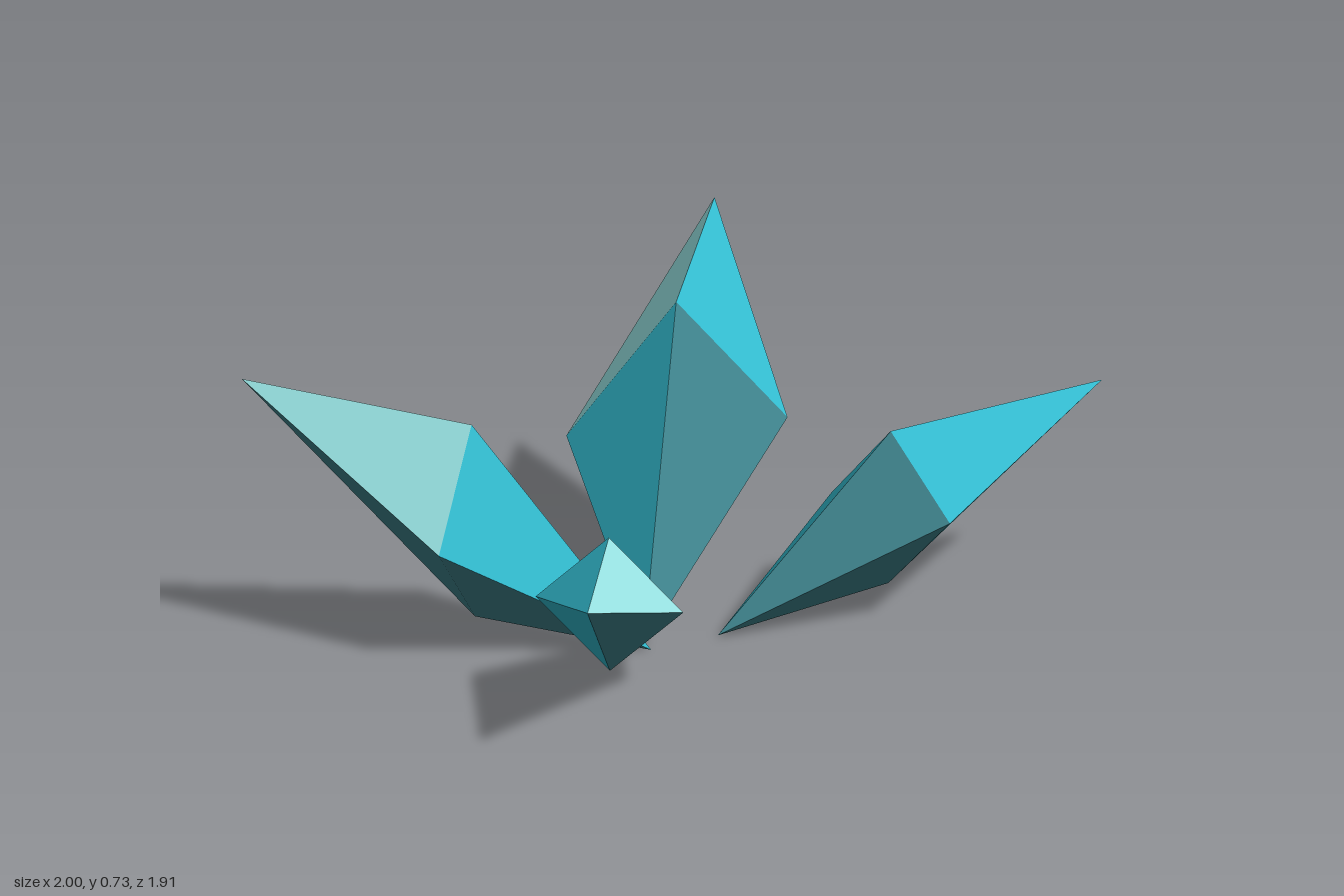
import * as THREE from 'three';

const paint = (name, color) => {
  const m = new THREE.MeshStandardMaterial({ color });
  m.name = name;
  return m;
};

// One faceted leaf: a four-sided double pyramid from base to tip,
// with a waist around its middle (height = half height, side = offset to its right edge).
function leafGeometry({ base, tip, middle, height, side }) {
  const v = (a) => new THREE.Vector3(...a);
  const b = v(base), t = v(tip), c = v(middle), s = v(side), u = v([0, height, 0]);
  // top, right, bottom, left
  const ring = [c.clone().add(u), c.clone().add(s), c.clone().sub(u), c.clone().sub(s)];
  const tipPaint = [1, 1, 2, 0], basePaint = [2, 2, 2, 1];
  const positions = [], geometry = new THREE.BufferGeometry();
  const face = (p, q, r, material) => {
    geometry.addGroup(positions.length / 3, 3, material);
    for (const k of [p, q, r]) positions.push(k.x, k.y, k.z);
  };
  for (let i = 0; i < 4; i++) {
    const p = ring[i], q = ring[(i + 1) % 4];
    face(t, p, q, tipPaint[i]);
    face(b, q, p, basePaint[i]);
  }
  geometry.setAttribute('position', new THREE.Float32BufferAttribute(positions, 3));
  geometry.computeVertexNormals();
  return geometry;
}

export function createModel() {
  const model = new THREE.Group();
  model.name = 'leafCluster';
  const materials = [
    paint('paleAqua', 0x96e0e0),
    paint('brightTeal', 0x32bace),
    paint('greyTeal', 0x3e828b),
  ];

  const leaves = {
    largeBackLeaf: { base: [-0.29, 0.005, 0.33], tip: [0.47, 0.73, -0.955],
      middle: [0.035, 0.34, -0.22], height: 0.3, side: [0.225, 0.03, 0.135] },
    leftLeaf: { base: [-0.11, 0.005, 0.33], tip: [0.995, 0.43, 0.11],
      middle: [0.365, 0.22, 0.235], height: 0.18, side: [0.045, 0.01, 0.205] },
    rightLeaf: { base: [-0.28, 0, 0.35], tip: [-1, 0.545, -0.28],
      middle: [-0.59, 0.26, 0.08], height: 0.22, side: [0.14, 0.02, -0.16] },
    smallFrontLeaf: { base: [-0.3, 0.01, 0.25], tip: [-0.68, 0.31, 0.955],
      middle: [-0.463, 0.185, 0.55], height: 0.147, side: [-0.138, 0.015, -0.073] },
  };
  for (const [name, shape] of Object.entries(leaves)) {
    const leaf = new THREE.Mesh(leafGeometry(shape), materials);
    leaf.name = name;
    model.add(leaf);
  }
  return model;
}
